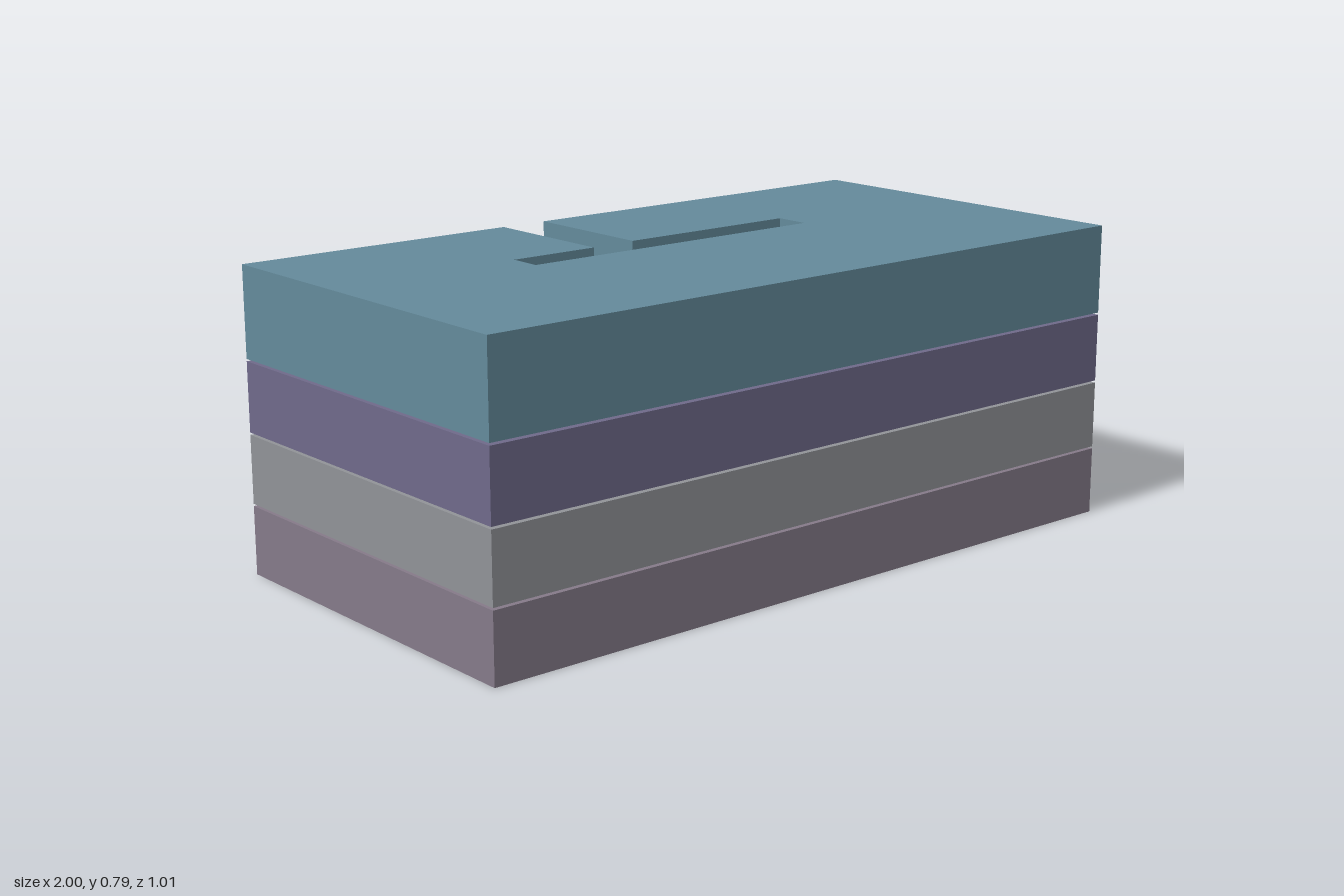
import * as THREE from 'three';

const D = 0.507; // half depth
// Plan corners are [x, z]; extruded along y between y0 and y1.
function slab(name, plan, y0, y1, color) {
  const shape = new THREE.Shape(plan.map(([x, z]) => new THREE.Vector2(x, -z)));
  const geometry = new THREE.ExtrudeGeometry(shape, { depth: y1 - y0, bevelEnabled: false });
  geometry.rotateX(-Math.PI / 2);
  geometry.translate(0, y0, 0);
  const mesh = new THREE.Mesh(geometry, new THREE.MeshStandardMaterial({ color, flatShading: true }));
  mesh.name = name;
  return mesh;
}

// Outline with a channel from the back edge that turns into a slot.
function plan({ notch, slit }) {
  return [
    [-1, D], [1, D],
    // hairline slit in the right-hand end
    ...(slit ? [[1, -0.253], [0.42, -0.253], [0.42, -0.259], [1, -0.259]] : []),
    [1, -D], [-0.085, -D], [-0.085, -0.13], [0.428, -0.13], [0.428, -0.035],
    // blind pocket on the other side of the channel
    ...(notch ? [[-0.465, -0.035], [-0.465, -0.123], [-0.217, -0.123]] : [[-0.217, -0.035]]),
    [-0.217, -D], [-1, -D],
  ];
}

export function createModel() {
  const group = new THREE.Group();
  group.name = 'layeredBlock';
  const lower = plan({ slit: true });
  const upper = plan({ notch: true });

  // Stacked slabs, separated by thin gaps
  [
    ['bottomLayer', lower, 0, 0.179, 0x857a89],
    ['lowerMiddleLayer', lower, 0.185, 0.363, 0x919398],
    ['upperMiddleLayer', lower, 0.369, 0.55, 0x6f6a8a],
    ['topLayer', upper, 0.556, 0.792, 0x648a9b],
  ].forEach((layer) => group.add(slab(...layer)));
  return group;
}
